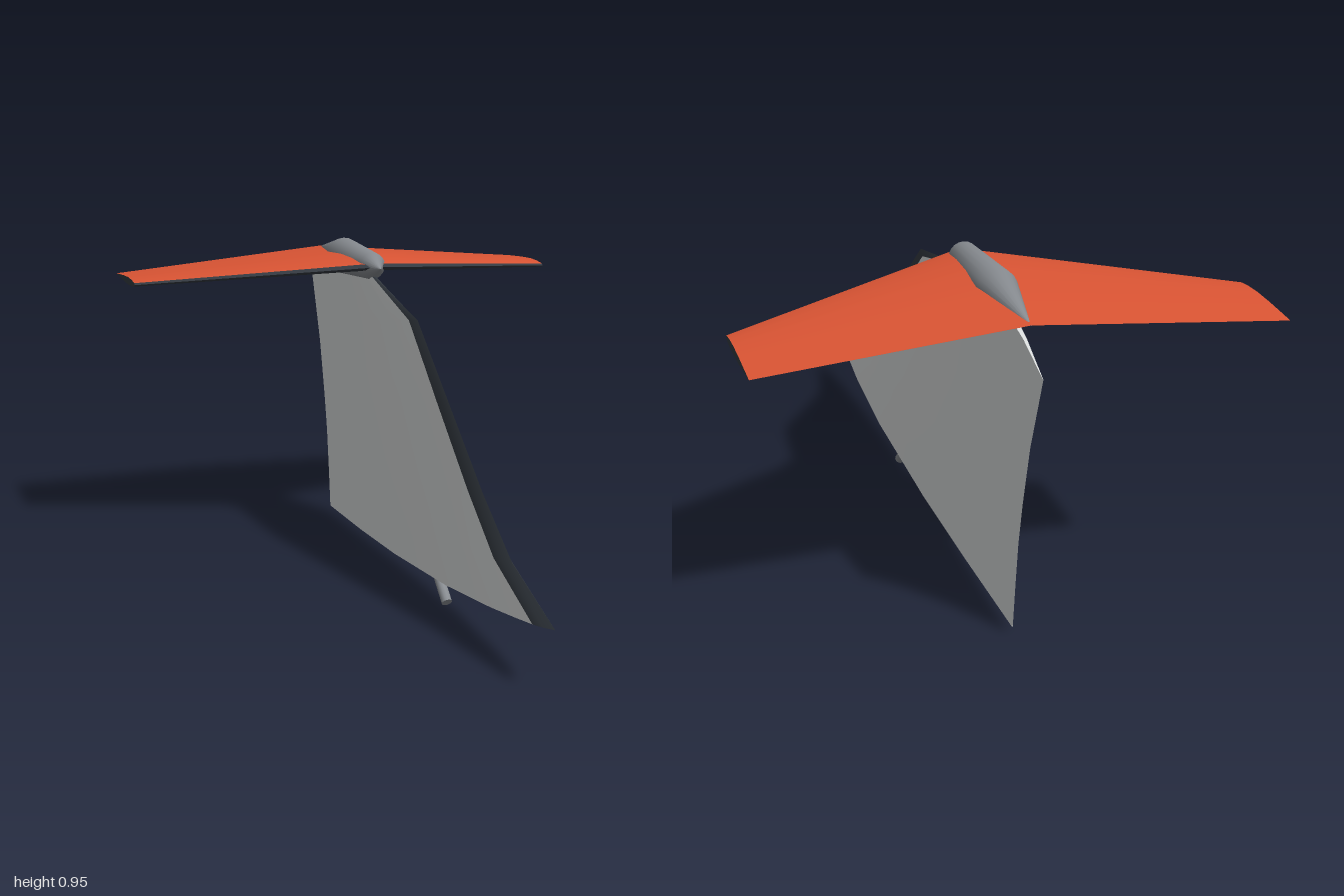
import * as THREE from 'three';

const paint = (name, color) => {
  const m = new THREE.MeshStandardMaterial({ color, side: THREE.DoubleSide });
  m.name = name;
  return m;
};

// Smooth sheet through rows of points
function sheet(rows, flip = false) {
  const n = rows[0].length, index = [];
  for (let r = 0; r < rows.length - 1; r++) {
    for (let c = 0; c < n - 1; c++) {
      const a = r * n + c, b = a + 1, d = a + n, e = d + 1;
      index.push(...(flip ? [a, d, b, b, d, e] : [a, b, d, b, e, d]));
    }
  }
  const g = new THREE.BufferGeometry();
  g.setAttribute('position', new THREE.Float32BufferAttribute(rows.flat(2), 3));
  g.setIndex(index);
  g.computeVertexNormals();
  return g;
}

// Aerofoil half thickness (0..1) along the chord
const FOIL = [[0, 0], [0.03, 0.42], [0.06, 0.57], [0.18, 0.87], [0.35, 1], [0.6, 0.74], [1, 0.03]];
function foil(f) {
  const i = Math.max(1, FOIL.findIndex(p => p[0] >= f));
  const [f0, t0] = FOIL[i - 1], [f1, t1] = FOIL[i];
  return t0 + (t1 - t0) * (f - f0) / (f1 - f0);
}
const lerp = THREE.MathUtils.lerp;

export function createModel() {
  const white = paint('fin white', 0xdadddd);
  const red = paint('stabilizer red', 0xdc5534);
  const dark = paint('edge charcoal', 0x343a41);
  const grey = paint('fairing grey', 0x888c91);

  const model = new THREE.Group();
  model.name = 'tailAssembly';
  const fin = new THREE.Group();
  fin.name = 'verticalFin';
  const tail = new THREE.Group();
  tail.name = 'horizontalStabilizer';
  model.add(fin, tail);
  const add = (parent, name, geometry, material) => {
    const m = new THREE.Mesh(geometry, material);
    m.name = name;
    parent.add(m);
  };

  // Fin stations: leading z, y, trailing z, y, half thickness, chord bow
  const stations = [
    [1.0, 0.165, -0.82, 0.02, 0.04, -0.022],
    [0.73, 0.26, -0.835, 0.16, 0.036, -0.012],
    [0.53, 0.395, -0.85, 0.28, 0.031, 0],
    [0.28, 0.59, -0.875, 0.4, 0.025, 0.005],
    [0.03, 0.785, -0.92, 0.575, 0.018, 0.02],
    [-0.35, 0.862, -1.0, 0.79, 0.012, 0.06],
  ];
  const finPoint = ([z0, y0, z1, y1, t, bow], f, side) =>
    [side * t * foil(f), lerp(y0, y1, f) + bow * 4 * f * (1 - f), lerp(z0, z1, f)];
  const edge = [0, 0.025, 0.05];
  const skin = [0.05, 0.1, 0.18, 0.35, 0.6, 0.8, 1];

  for (const [part, cols, mat] of [['LeadingEdge', edge, dark], ['Skin', skin, white]]) {
    for (const side of [1, -1]) {
      const rows = stations.map(s => cols.map(f => finPoint(s, f, side)));
      add(fin, (side > 0 ? 'left' : 'right') + 'Fin' + part, sheet(rows, side < 0), mat);
    }
    // Flat closing faces at root and top
    for (const [name, s, flip] of [['root', stations[0], false], ['top', stations[5], true]]) {
      const rows = [-1, 1].map(side => cols.map(f => finPoint(s, f, side)));
      add(fin, name + 'FinCap' + part, sheet(rows, flip), mat);
    }
  }

  // Stabilizer: u runs root to tip, drooping outward
  const wingPoint = (side, u, f, face) => [
    side * 0.685 * u,
    lerp(0.895, 0.834, u) + face * lerp(0.023, 0.012, u) * foil(f),
    lerp(lerp(-0.32, -0.62, u), -0.91, f),
  ];
  const wingSkin = [0.1, 0.18, 0.35, 0.6, 0.8, 1];
  for (const side of [1, -1]) {
    const label = side > 0 ? 'left' : 'right';
    const surface = (cols, face) =>
      sheet([0, 0.5, 1].map(u => cols.map(f => wingPoint(side, u, f, face))), side * face > 0);
    add(tail, label + 'UpperSkin', surface([0.03, 0.06, ...wingSkin], 1), red);
    add(tail, label + 'LowerSkin', surface([0.06, ...wingSkin], -1), red);
    add(tail, label + 'UpperLeadingEdge', surface([0, 0.015, 0.03], 1), dark);
    add(tail, label + 'LowerLeadingEdge', surface([0, 0.03, 0.06], -1), dark);
    const tip = [-1, 1].map(face => [0, 0.03, 0.06, ...wingSkin].map(f => wingPoint(side, 1, f, face)));
    add(tail, label + 'TipCap', sheet(tip, side < 0), dark);
  }

  // Pointed fairing where stabilizer and fin meet
  const profile = [[0, -0.91], [0.057, -0.65], [0.041, -0.37], [0, -0.29]];
  const pod = new THREE.LatheGeometry(profile.map(p => new THREE.Vector2(...p)), 20);
  pod.rotateX(Math.PI / 2).translate(0, 0.893, 0);
  add(model, 'junctionFairing', pod, grey);

  // Slanted mounting pin under the fin
  const pin = new THREE.CylinderGeometry(0.015, 0.015, 0.18, 12);
  pin.translate(0, 0.09, 0).rotateX(-Math.PI * 0.27).translate(0, 0.011, 0.27);
  add(model, 'mountingPin', pin, grey);

  return model;
}
